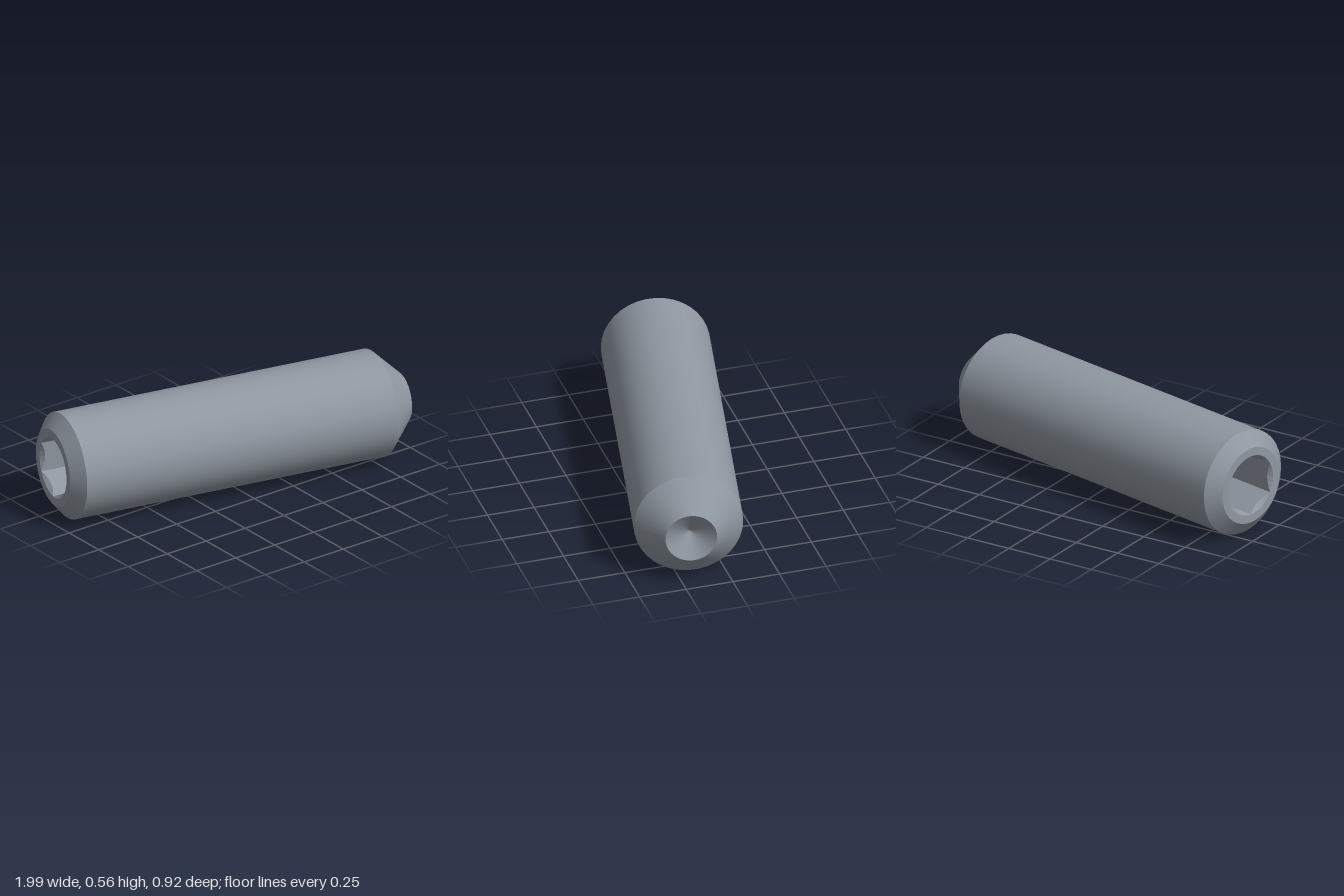
import * as THREE from 'three';

const SIDES = 36;
const R = 0.281;          // shank radius
const BACK = -0.976;      // socket end along the axis
const TIP = 0.991;        // cup end along the axis
const HEX_FLAT = 0.14;    // socket centre to flat
const MOUTH = HEX_FLAT / Math.cos(Math.PI / 6);
const SOCKET_DEPTH = 0.36;

// One turned section; separate sections keep the edges between them sharp
function turned(name, r0, y0, r1, y1, material) {
  const profile = [new THREE.Vector2(r0, y0), new THREE.Vector2(r1, y1)];
  const mesh = new THREE.Mesh(new THREE.LatheGeometry(profile, SIDES), material);
  mesh.name = name;
  return mesh;
}

// Blind hex hole: a turned profile pressed onto six flats, with a conical lead-in
function hexSocket(material) {
  const floor = BACK + SOCKET_DEPTH;
  const profile = [[0, floor], [1, floor], [1, BACK], [MOUTH, BACK]]
    .map(([r, y]) => new THREE.Vector2(r, y));
  const lathe = new THREE.LatheGeometry(profile, SIDES);
  const pos = lathe.attributes.position;
  for (let i = 0; i < pos.count; i++) {
    const row = i % 4;
    if (row !== 1 && row !== 2) continue;
    const step = Math.floor(i / 4);
    const phi = (step / SIDES) * Math.PI * 2;
    const sector = Math.PI / 3;
    const off = phi - Math.round(phi / sector) * sector;
    const r = HEX_FLAT / Math.cos(off);
    const y = row === 1 ? floor : BACK + Math.max(0, MOUTH - r);
    pos.setXYZ(i, r * Math.sin(phi), y, r * Math.cos(phi));
  }
  const geometry = lathe.toNonIndexed();
  geometry.computeVertexNormals();
  const mesh = new THREE.Mesh(geometry, material);
  mesh.name = 'hexSocket';
  return mesh;
}

export function createModel() {
  const steel = new THREE.MeshStandardMaterial({ color: 0x8f97a1 });
  steel.name = 'steel grey';

  const screw = new THREE.Group();
  screw.name = 'setScrew';
  screw.add(
    hexSocket(steel),
    turned('socketFace', MOUTH, BACK, 0.206, BACK, steel),
    turned('backChamfer', 0.206, BACK, R, -0.915, steel),
    turned('shank', R, -0.915, R, 0.842, steel),
    turned('pointChamfer', R, 0.842, 0.133, TIP, steel),
    turned('cupPoint', 0.133, TIP, 0, TIP - 0.077, steel),
  );

  // Lay the screw on its side, turned slightly towards the front
  screw.rotation.set(0, -THREE.MathUtils.degToRad(12), -Math.PI / 2);
  screw.position.set(0, R, 0.007);

  const model = new THREE.Group();
  model.name = 'model';
  model.add(screw);
  return model;
}
